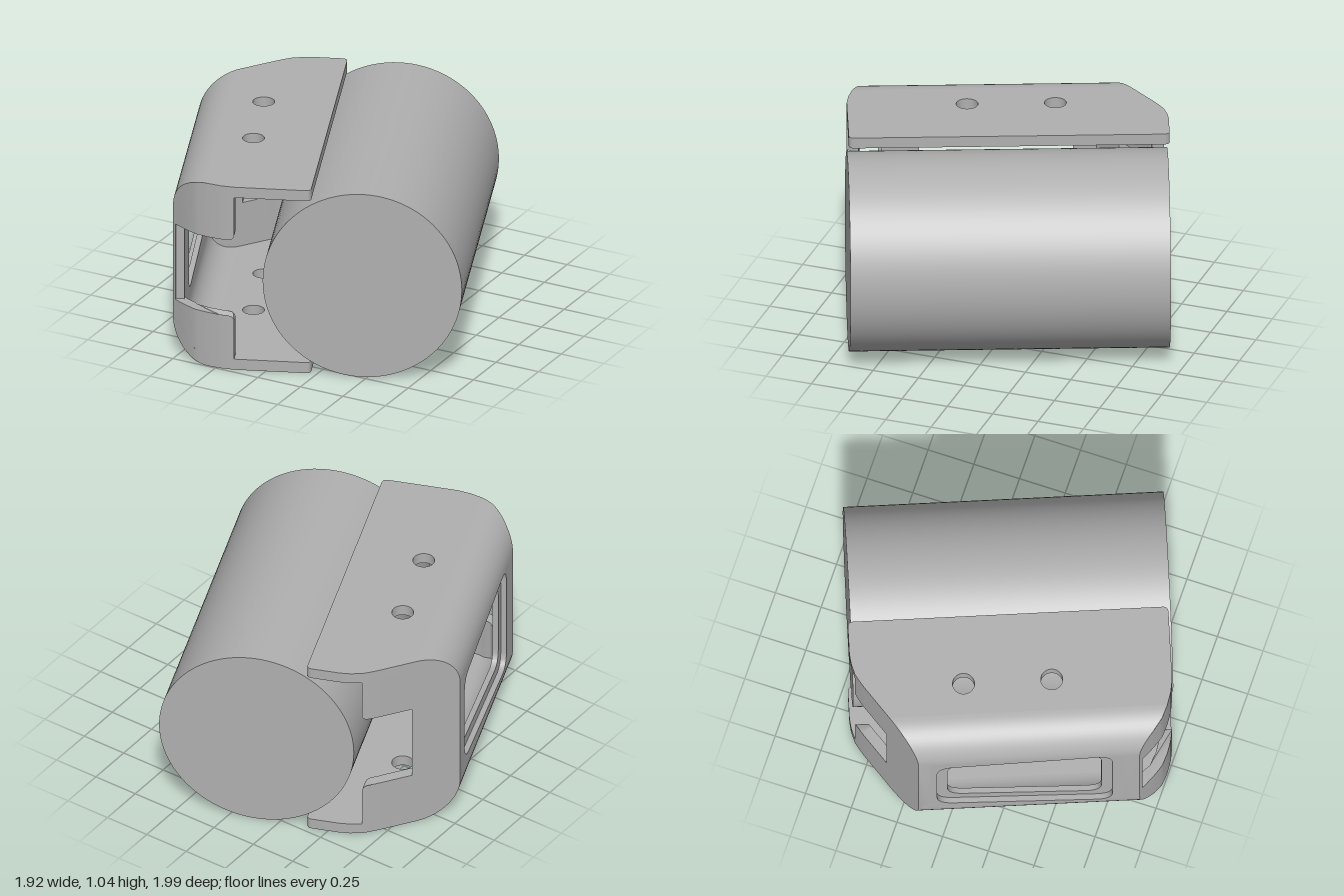
import * as THREE from 'three';
import { toCreasedNormals } from 'three/addons/utils/BufferGeometryUtils.js';

const H = 1.04, T = 0.06, R = 0.2, XL = -0.84, XR = -0.1;

// plan outline of the bracket: [x, z] along its front and back ends
const FRONT = [[XL, 0.662], [-0.766, 0.737], [-0.71, 0.785], [-0.642, 0.816], [-0.57, 0.838], [-0.5, 0.848], [XR, 0.848]];
const BACK = [[XL, -0.487], [-0.465, -0.75], [-0.425, -0.775], [-0.391, -0.794], [-0.33, -0.811], [-0.274, -0.817], [XR, -0.817]];

function zAt(line, x) {
  let i = 1;
  while (i < line.length - 1 && x > line[i][0]) i++;
  const [a, b] = [line[i - 1], line[i]];
  return a[1] + (b[1] - a[1]) * (x - a[0]) / (b[0] - a[0]);
}

// height of the rounded channel section at x
function topAt(x) {
  const d = Math.max(0, XL + R - x);
  return H - R + Math.sqrt(Math.max(0, R * R - d * d));
}

// quadrilateral with rounded corners
function roundedPath(pts, r) {
  const path = new THREE.Path(), n = pts.length;
  pts.forEach((p, i) => {
    const toward = q => p.clone().add(q.clone().sub(p).setLength(r));
    const a = toward(pts[(i + n - 1) % n]), b = toward(pts[(i + 1) % n]);
    if (i) path.lineTo(a.x, a.y); else path.moveTo(a.x, a.y);
    path.quadraticCurveTo(p.x, p.y, b.x, b.y);
  });
  path.closePath();
  return path;
}

const extrude = (shape, depth) => new THREE.ExtrudeGeometry(shape, { depth, bevelEnabled: false, curveSegments: 16 });

function moveVertices(geometry, rule) {
  const p = geometry.attributes.position, v = new THREE.Vector3();
  for (let i = 0; i < p.count; i++) {
    rule(v.fromBufferAttribute(p, i));
    p.setXYZ(i, v.x, v.y, v.z);
  }
  return geometry;
}

export function createModel() {
  const model = new THREE.Group();
  const body = new THREE.Group();
  body.name = 'cylinderAndBracket';
  body.rotation.y = 0.375;
  model.add(body);
  const grey = new THREE.MeshStandardMaterial({ color: 0xb0b0b0 });
  grey.name = 'grey';

  function add(name, geometry, x = 0, y = 0, z = 0) {
    const mesh = new THREE.Mesh(toCreasedNormals(geometry, 0.5), grey);
    mesh.name = name;
    mesh.position.set(x, y, z);
    body.add(mesh);
  }

  // large solid cylinder lying along z
  add('cylinder', new THREE.CylinderGeometry(H / 2, H / 2, 1.663, 96).rotateX(Math.PI / 2), 0.171, H / 2, 0.03);

  // top and bottom plates with two bolt holes
  const plate = new THREE.Shape(), x0 = XL + R, c = 0.03;
  plate.moveTo(x0, zAt(BACK, x0));
  BACK.filter(p => p[0] > x0 && p[0] < XR).forEach(p => plate.lineTo(...p));
  const zb = zAt(BACK, XR), zf = zAt(FRONT, XR);
  plate.lineTo(XR - c, zb);
  plate.quadraticCurveTo(XR, zb, XR, zb + c);
  plate.lineTo(XR, zf - c);
  plate.quadraticCurveTo(XR, zf, XR - c, zf);
  FRONT.filter(p => p[0] > x0 && p[0] < XR).reverse().forEach(p => plate.lineTo(...p));
  plate.lineTo(x0, zAt(FRONT, x0));
  plate.closePath();
  for (const z of [-0.234, 0.224]) {
    plate.holes.push(new THREE.Path().absarc(-0.471, z, 0.057, 0, Math.PI * 2, true));
  }
  for (const [name, y] of [['topPlate', H], ['bottomPlate', T]]) {
    add(name, extrude(plate, T).rotateX(Math.PI / 2), 0, y);
  }

  // rounded bends between the plates and the side wall, trimmed to the outline
  for (const s of [1, -1]) {
    const pts = [], n = 14;
    for (const r of [R, R - T]) {
      for (let i = 0; i <= n; i++) {
        const a = Math.PI / 2 * (1 + (r === R ? i : n - i) / n);
        pts.push(new THREE.Vector2(x0 + r * Math.cos(a), H / 2 + s * (H / 2 - R + r * Math.sin(a))));
      }
    }
    add(s > 0 ? 'topBend' : 'bottomBend', moveVertices(extrude(new THREE.Shape(pts), 1), v => {
      v.z = THREE.MathUtils.lerp(zAt(BACK, v.x), zAt(FRONT, v.x), v.z);
    }));
  }

  // side wall in two layers: a window with a recessed rim
  const layers = [['sideWallOuter', 0, XL + T / 2], ['sideWallInner', 0.055, XL + T]];
  for (const [name, inset, x] of layers) {
    const wall = new THREE.Shape([
      new THREE.Vector2(BACK[0][1], R), new THREE.Vector2(FRONT[0][1], R),
      new THREE.Vector2(FRONT[0][1], H - R), new THREE.Vector2(BACK[0][1], H - R)]);
    const hb = 0.26 - inset, hf = 0.32 - inset, b = -0.39 + inset, f = 0.52 - inset;
    wall.holes.push(roundedPath([[b, -hb], [b, hb], [f, hf], [f, -hf]]
      .map(([z, y]) => new THREE.Vector2(z, H / 2 + y)), 0.09));
    add(name, extrude(wall, T / 2).rotateY(-Math.PI / 2), x);
  }

  // end walls following the outline: a full-height column, then two tabs around a notch
  function endPiece(name, line, from, to, low, high) {
    const side = Math.sign(line[0][1]), xs = [];
    for (let i = 0; i <= 24; i++) xs.push(from + (to - from) * (1 - Math.cos(Math.PI * i / 24)) / 2);
    const outer = xs.map(x => new THREE.Vector2(x, zAt(line, x)));
    const inner = xs.map(x => {
      const e = 0.004, slope = (zAt(line, x + e) - zAt(line, x)) / e;
      return new THREE.Vector2(x, zAt(line, x) - side * T * Math.hypot(1, slope));
    });
    const shape = new THREE.Shape([...outer, ...inner.reverse()]);
    add(name, moveVertices(extrude(shape, 1).rotateX(Math.PI / 2), v => {
      v.y = v.y < -0.5 ? low(v.x) : high(v.x);
    }));
  }
  const top = x => topAt(x) - 0.002, bottom = x => H - top(x);
  const ends = [['front', FRONT, -0.825, -0.5], ['back', BACK, -0.62, -0.39]];
  for (const [name, line, notch, tip] of ends) {
    // notch edge, rounded at the free tip of the tab
    const edge = x => {
      const d = Math.max(0, x - tip + 0.03);
      return 0.735 + 0.03 - Math.sqrt(Math.max(0, 0.0009 - d * d));
    };
    endPiece(name + 'Column', line, XL, notch, bottom, top);
    endPiece(name + 'UpperTab', line, notch, tip, edge, top);
    endPiece(name + 'LowerTab', line, notch, tip, bottom, x => H - edge(x));
  }
  return model;
}
